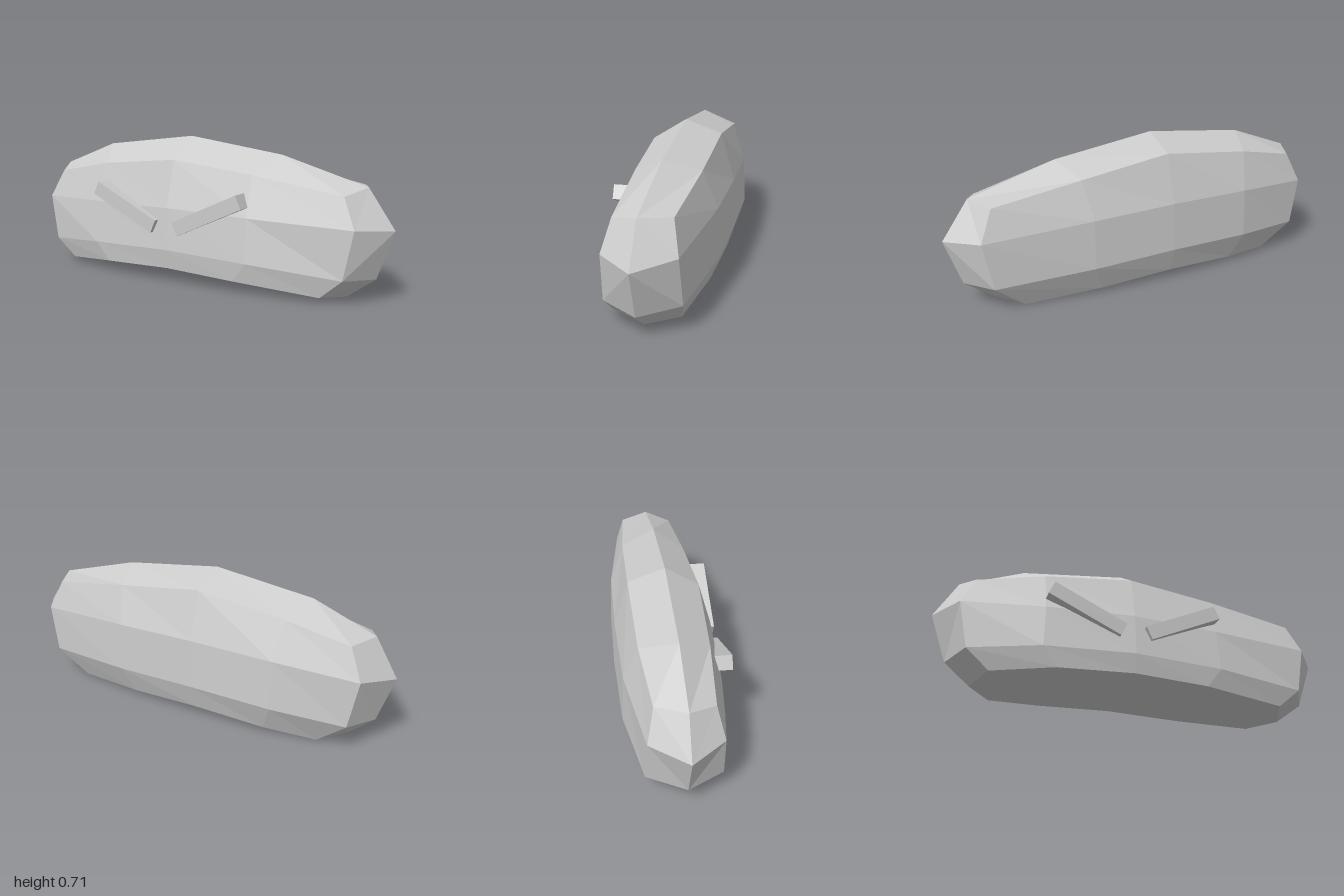
import * as THREE from 'three';

// Each section runs from the top ridge down the front, under the bottom and up the back.
// A point is [half width, y, z].
const MIDDLE = [
  [0, 0.71, 0], [0, 0.605, 0.165], [0, 0.375, 0.23], [0, 0.17, 0.25], [0, 0.075, 0.235],
  [0, 0.04, 0], [0, 0.045, -0.22], [0, 0.17, -0.26], [0, 0.41, -0.25], [0, 0.645, -0.18],
];
const QUARTER = [
  [0.51, 0.645, 0], [0.43, 0.56, 0.15], [0.43, 0.365, 0.21], [0.44, 0.155, 0.235], [0.37, 0.06, 0.225],
  [0.38, 0.02, 0], [0.37, 0.025, -0.2], [0.42, 0.16, -0.25], [0.42, 0.4, -0.24], [0.45, 0.585, -0.172],
];
const END = [
  [0.88, 0.525, 0], [0.815, 0.495, 0.126], [0.88, 0.355, 0.16], [0.835, 0.125, 0.168], [0.725, 0.03, 0.16],
  [0.79, 0.007, 0], [0.68, 0.002, -0.14], [0.835, 0.135, -0.18], [0.88, 0.365, -0.172], [0.815, 0.515, -0.139],
];

const place = (section, side, shift) =>
  section.map(([w, y, z]) => new THREE.Vector3(shift + side * w, y, z));

function bodyGeometry() {
  const positions = [];
  const quad = (a, b, c, d) => {
    for (const p of [a, b, c, a, c, d]) positions.push(p.x, p.y, p.z);
  };

  // Walls between neighbouring sections
  const rings = [
    place(END, -1, -0.01), place(QUARTER, -1, -0.07), place(MIDDLE, 1, -0.07),
    place(QUARTER, 1, -0.07), place(END, 1, -0.01),
  ];
  for (let i = 0; i < rings.length - 1; i++) {
    const r = rings[i], s = rings[i + 1];
    for (let j = 0; j < 10; j++) {
      const k = (j + 1) % 10;
      quad(r[j], r[k], s[k], s[j]);
    }
  }

  // Faceted end caps, pointed at the middle
  for (const side of [-1, 1]) {
    const ring = side > 0 ? rings[4] : rings[0];
    const tip = new THREE.Vector3(side, 0.34, 0);
    const low = new THREE.Vector3(side * 0.92, 0.11, 0);
    const faces = [
      [ring[0], ring[1], ring[2], tip], [tip, ring[2], ring[3], low], [low, ring[3], ring[4], ring[5]],
      [ring[0], tip, ring[8], ring[9]], [tip, low, ring[7], ring[8]], [low, ring[5], ring[6], ring[7]],
    ];
    for (const f of faces) quad(...(side > 0 ? f : f.reverse()));
  }

  const geometry = new THREE.BufferGeometry();
  geometry.setAttribute('position', new THREE.Float32BufferAttribute(positions, 3));
  geometry.computeVertexNormals();
  return geometry;
}

export function createModel() {
  const model = new THREE.Group();
  const material = new THREE.MeshStandardMaterial({ color: 0xcccccc, flatShading: true });

  const body = new THREE.Mesh(bodyGeometry(), material);
  body.name = 'body';
  model.add(body);

  // Two slanted bars sunk into the front
  for (const side of [-1, 1]) {
    const bar = new THREE.Mesh(new THREE.BoxGeometry(0.39, 0.07, 0.12), material);
    bar.name = side > 0 ? 'leftBrow' : 'rightBrow';
    bar.position.set(-0.07 + side * 0.24, 0.363, 0.2);
    bar.rotation.z = side * 0.434;
    model.add(bar);
  }
  return model;
}
